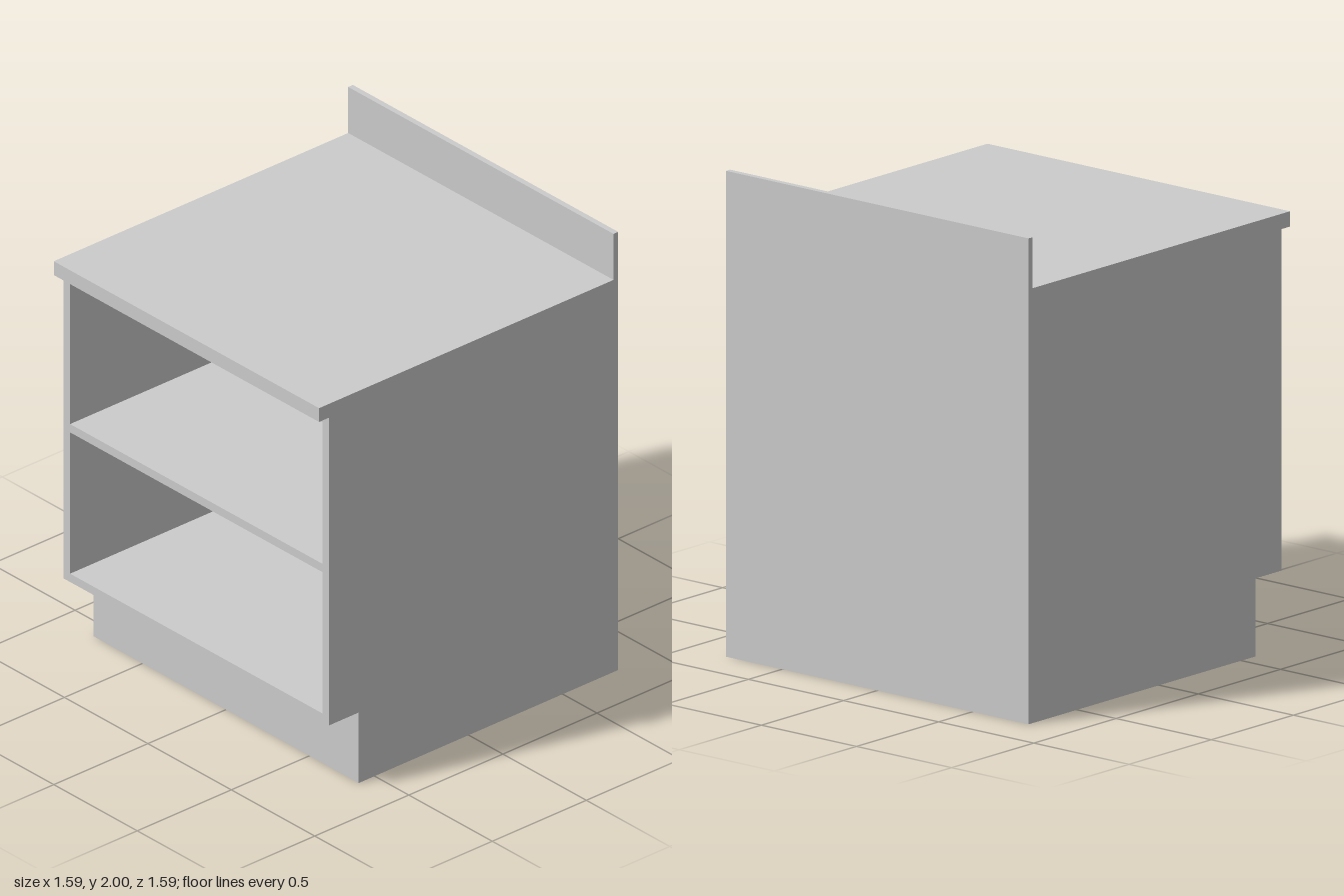
import * as THREE from 'three';

const W = 1.59;        // overall width
const BACK = -0.795;   // rear plane
const FRONT = 0.742;   // carcass front plane
const T = 0.038;       // panel thickness

export function createModel() {
  const group = new THREE.Group();
  const material = new THREE.MeshStandardMaterial({ color: 0xcccccc });

  // Box given by its width and its y and z ranges, centred on x
  function panel(name, width, y0, y1, z0, z1) {
    const mesh = new THREE.Mesh(new THREE.BoxGeometry(width, y1 - y0, z1 - z0), material);
    mesh.position.set(0, (y0 + y1) / 2, (z0 + z1) / 2);
    mesh.name = name;
    group.add(mesh);
  }

  // Recessed plinth, worktop with front overhang, and thin upstand
  panel('toeKickBase', W, 0, 0.322, BACK, 0.585);
  panel('worktop', W, 1.727, 1.79, BACK, 0.795);
  panel('backsplash', W, 1.79, 2, BACK, -0.77);

  // Open-fronted carcass: a rectangular frame run through the full depth
  const x = W / 2, y0 = 0.322, y1 = 1.727;
  const rect = (Type, hx, a, b) => new Type([
    new THREE.Vector2(-hx, a), new THREE.Vector2(hx, a),
    new THREE.Vector2(hx, b), new THREE.Vector2(-hx, b),
  ]);
  const frame = rect(THREE.Shape, x, y0, y1);
  frame.holes.push(rect(THREE.Path, x - T, y0 + T, y1 - T));
  const carcass = new THREE.Mesh(
    new THREE.ExtrudeGeometry(frame, { depth: FRONT - BACK, bevelEnabled: false }), material);
  carcass.position.z = BACK;
  carcass.name = 'carcass';
  group.add(carcass);

  // Back panel and middle shelf inside the frame
  panel('backPanel', W - 2 * T, y0 + T, y1 - T, BACK, BACK + T);
  panel('shelf', W - 2 * T, 1.005, 1.043, BACK + T, FRONT);

  return group;
}
